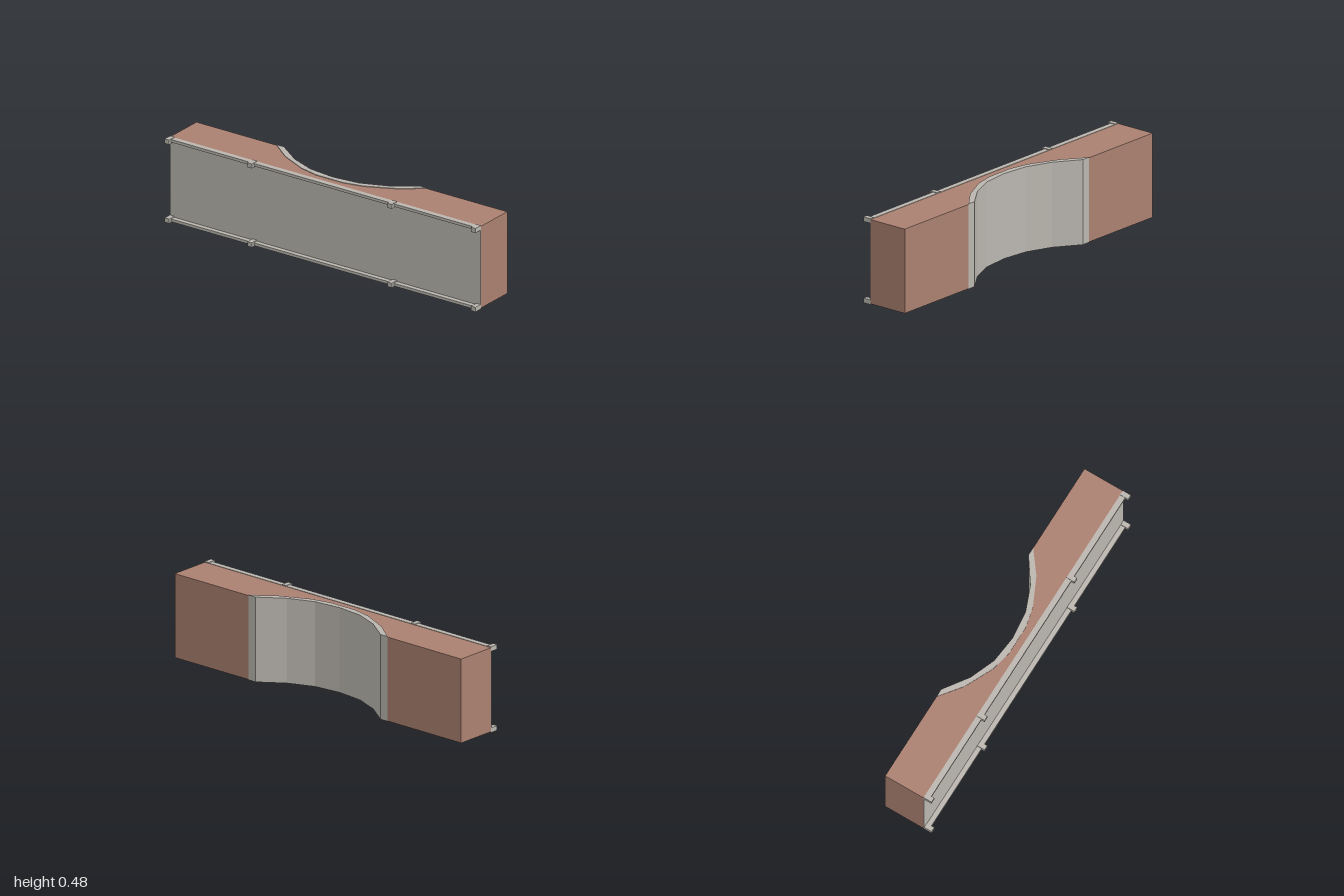
import * as THREE from 'three';

export function createModel() {
  const model = new THREE.Group();
  model.name = 'wallSection';

  const brick = new THREE.MeshStandardMaterial({ color: 0xaa8070 });
  brick.name = 'clay';
  const stone = new THREE.MeshStandardMaterial({ color: 0xbab6af });
  stone.name = 'stone';

  const BACK = -0.142, FRONT = 0.093;

  // Right halves of the niche curves as [x, z]; mirrored to full curves
  const mirror = (half) => [
    ...half.map(([x, z]) => [-x, z]),
    ...half.slice().reverse().filter(([x]) => x > 0),
  ];
  const outer = mirror([[0.485, BACK], [0.36, -0.046], [0.2, 0.03], [0.085, 0.056]]);
  const inner = mirror([[0.437, BACK], [0.3, -0.046], [0.157, 0.011], [0, 0.028]]);

  // Upright prism from a plan outline
  function prism(name, outline, y0, y1, material) {
    const shape = new THREE.Shape(outline.map(([x, z]) => new THREE.Vector2(x, -z)));
    const geo = new THREE.ExtrudeGeometry(shape, { depth: y1 - y0, bevelEnabled: false });
    geo.rotateX(-Math.PI / 2).translate(0, y0, 0);
    const mesh = new THREE.Mesh(geo, material);
    mesh.name = name;
    model.add(mesh);
  }

  function box(name, x0, x1, y0, y1, z0, z1, material) {
    const mesh = new THREE.Mesh(new THREE.BoxGeometry(x1 - x0, y1 - y0, z1 - z0), material);
    mesh.position.set((x0 + x1) / 2, (y0 + y1) / 2, (z0 + z1) / 2);
    mesh.name = name;
    model.add(mesh);
  }

  // Main block with the curved niche cut from its back
  prism('block', [[-1, FRONT], [-1, BACK], ...outer, [1, BACK], [1, FRONT]], 0.005, 0.471, brick);

  // Faceted lining of the niche, slightly taller than the block
  prism('nicheLining', [...outer, ...inner.slice().reverse()], 0.003, 0.474, stone);

  // Front facing plate
  box('frontPanel', -1, 1, 0.005, 0.471, FRONT, 0.097, stone);

  // Top and bottom rails with their brackets
  for (const [row, y, ry] of [['lower', 0, 0.004], ['upper', 0.45, 0.457]]) {
    box(row + 'Rail', -1, 1, ry, ry + 0.016, FRONT, 0.124, stone);
    for (const x of [-0.986, -0.454, 0.447, 0.986]) {
      box(row + 'Bracket', x - 0.014, x + 0.014, y, y + 0.026, FRONT, 0.142, stone);
    }
  }

  return model;
}
